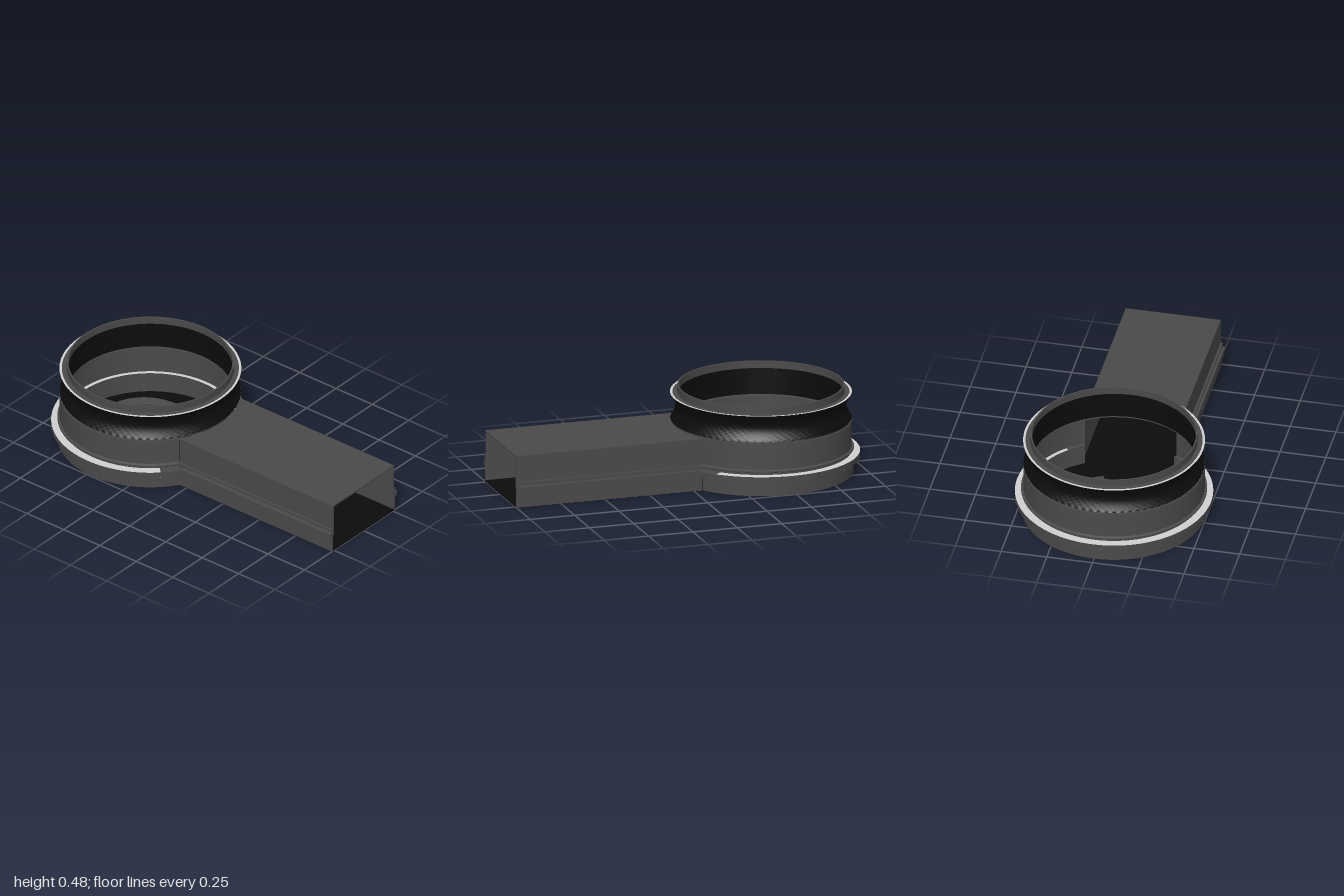
import * as THREE from 'three';

const CZ = -0.465;            // centre of the round housing
const OPEN = 0.566;           // half angle of the opening towards the duct
const D = THREE.DoubleSide;

const gray = new THREE.MeshStandardMaterial({ color: 0x4a4a4a, side: D });
gray.name = 'dark gray';
const black = new THREE.MeshStandardMaterial({ color: 0x0c0c0c, side: D });
black.name = 'black';
const light = new THREE.MeshStandardMaterial({ color: 0xd0d0d0, side: D });
light.name = 'light gray';

export function createModel() {
  const group = new THREE.Group();

  const add = (name, geo, mat, x = 0, y = 0, z = 0) => {
    const m = new THREE.Mesh(geo, mat);
    m.name = name;
    m.position.set(x, y, z);
    group.add(m);
    return m;
  };

  // Revolved part with crisp edges: each profile segment is its own lathe
  const revolve = (name, pts, mat, start = 0, end = Math.PI * 2) => {
    for (let i = 0; i < pts.length - 1; i++) {
      const seg = [pts[i], pts[i + 1]].map(p => new THREE.Vector2(p[0], p[1]));
      add(name, new THREE.LatheGeometry(seg, 96, start, end - start), mat, 0, 0, CZ);
    }
  };
  const A = OPEN, B = Math.PI * 2 - OPEN;

  // Housing walls, open towards the duct
  revolve('lowerWall', [[0.455, 0.115], [0.455, 0], [0.495, 0], [0.495, 0.085]], gray, A, B);
  revolve('upperWall', [[0.475, 0.115], [0.475, 0.285], [0.485, 0.285], [0.485, 0.115]], gray, A, B);
  revolve('wallBead', [[0.485, 0.125], [0.497, 0.13], [0.497, 0.138], [0.485, 0.143]], gray, A, B);

  // Flange: pale faces, dark rim, dark ends next to the duct
  const W = 0.785, W2 = Math.PI * 2 - W;
  revolve('flangeRim', [[0.53, 0.085], [0.53, 0.115]], gray, A, B);
  revolve('flangeTop', [[0.53, 0.115], [0.455, 0.115]], light, W, W2);
  revolve('flangeUnderside', [[0.495, 0.085], [0.53, 0.085]], light, W, W2);
  for (const [s, e] of [[A, W], [W2, B]]) {
    revolve('flangeEnd', [[0.53, 0.115], [0.455, 0.115]], gray, s, e);
    revolve('flangeEnd', [[0.495, 0.085], [0.53, 0.085]], gray, s, e);
  }

  // Collar between the wall and the grip ring
  revolve('collar', [[0.445, 0.285], [0.478, 0.285], [0.478, 0.297], [0.445, 0.297]], gray);

  // Knurled grip ring with a concave waist and slanted ribs
  const y0 = 0.295, h = 0.145, teeth = 72;
  const knurl = new THREE.CylinderGeometry(1, 1, h, teeth * 6, 14, true);
  const p = knurl.attributes.position;
  for (let i = 0; i < p.count; i++) {
    const t = p.getY(i) / h + 0.5;
    const a = Math.atan2(p.getX(i), p.getZ(i));
    const rib = 0.003 * Math.cos(teeth * (a + 0.45 * t));
    const r = 0.483 - 0.028 * Math.sin(Math.PI * t) + rib;
    p.setXYZ(i, r * Math.sin(a), p.getY(i), r * Math.cos(a));
  }
  knurl.computeVertexNormals();
  add('gripRing', knurl, black, 0, y0 + h / 2, CZ);
  revolve('gripInside', [[0.44, 0.295], [0.44, 0.44]], black);
  revolve('gripBottom', [[0.44, 0.295], [0.483, 0.295]], black);
  revolve('gripTop', [[0.473, 0.44], [0.44, 0.44]], gray);
  revolve('gripEdge', [[0.486, 0.44], [0.473, 0.44]], light);

  // Raised top rim
  revolve('topRim', [[0.447, 0.44], [0.447, 0.48], [0.438, 0.48], [0.438, 0.44]], gray);

  // Floor of the housing
  const disc = new THREE.CircleGeometry(0.495, 96);
  disc.rotateX(-Math.PI / 2);
  add('housingFloor', disc, black, 0, 0.001, CZ);

  // Duct plates with an end curved to fit the housing
  const plate = (w, r) => {
    const s = new THREE.Shape();
    const a = Math.acos(w / r);
    s.moveTo(-w, -1);
    s.lineTo(w, -1);
    s.lineTo(w, -CZ - r * Math.sin(a));
    s.absarc(0, -CZ, r, -a, -Math.PI + a, true);
    s.closePath();
    const g = new THREE.ExtrudeGeometry(s, { depth: 0.008, bevelEnabled: false, curveSegments: 32 });
    g.rotateX(-Math.PI / 2);
    return g;
  };
  add('ductTop', plate(0.26, 0.48), gray, 0, 0.277, 0);
  add('ductFloor', plate(0.265, 0.495), black, 0, 0, 0);

  // Duct side walls, rails and beads, mirrored
  for (const s of [-1, 1]) {
    const bar = (name, xIn, xOut, yLo, yHi, zBack) => add(name,
      new THREE.BoxGeometry(xOut - xIn, yHi - yLo, 1 - zBack), gray,
      s * (xIn + xOut) / 2, (yLo + yHi) / 2, (1 + zBack) / 2);
    bar('ductLowerWall', 0.257, 0.267, 0.001, 0.1, -0.045);
    bar('ductUpperWall', 0.25, 0.26, 0.1, 0.284, -0.055);
    bar('ductRail', 0.257, 0.284, 0.085, 0.115, -0.02);
    bar('ductBead', 0.257, 0.272, 0.127, 0.14, -0.05);
  }

  // Sloping C-shaped ramp on the floor
  const gap = 0.42, c = new THREE.Shape();
  const from = -Math.PI / 2 + gap, to = Math.PI * 1.5 - gap;
  c.absarc(0, 0, 0.28, from, to, false);
  c.absarc(0, 0, 0.22, to, from, true);
  c.closePath();
  const ramp = new THREE.ExtrudeGeometry(c, { depth: 1, bevelEnabled: false, curveSegments: 48 });
  ramp.rotateX(-Math.PI / 2);
  const q = ramp.attributes.position;
  for (let i = 0; i < q.count; i++) {
    q.setY(i, q.getY(i) > 0.5 ? 0.052 - 0.12 * q.getZ(i) : 0.002);
  }
  ramp.computeVertexNormals();
  add('ramp', ramp, gray, 0, 0, CZ);

  return group;
}
